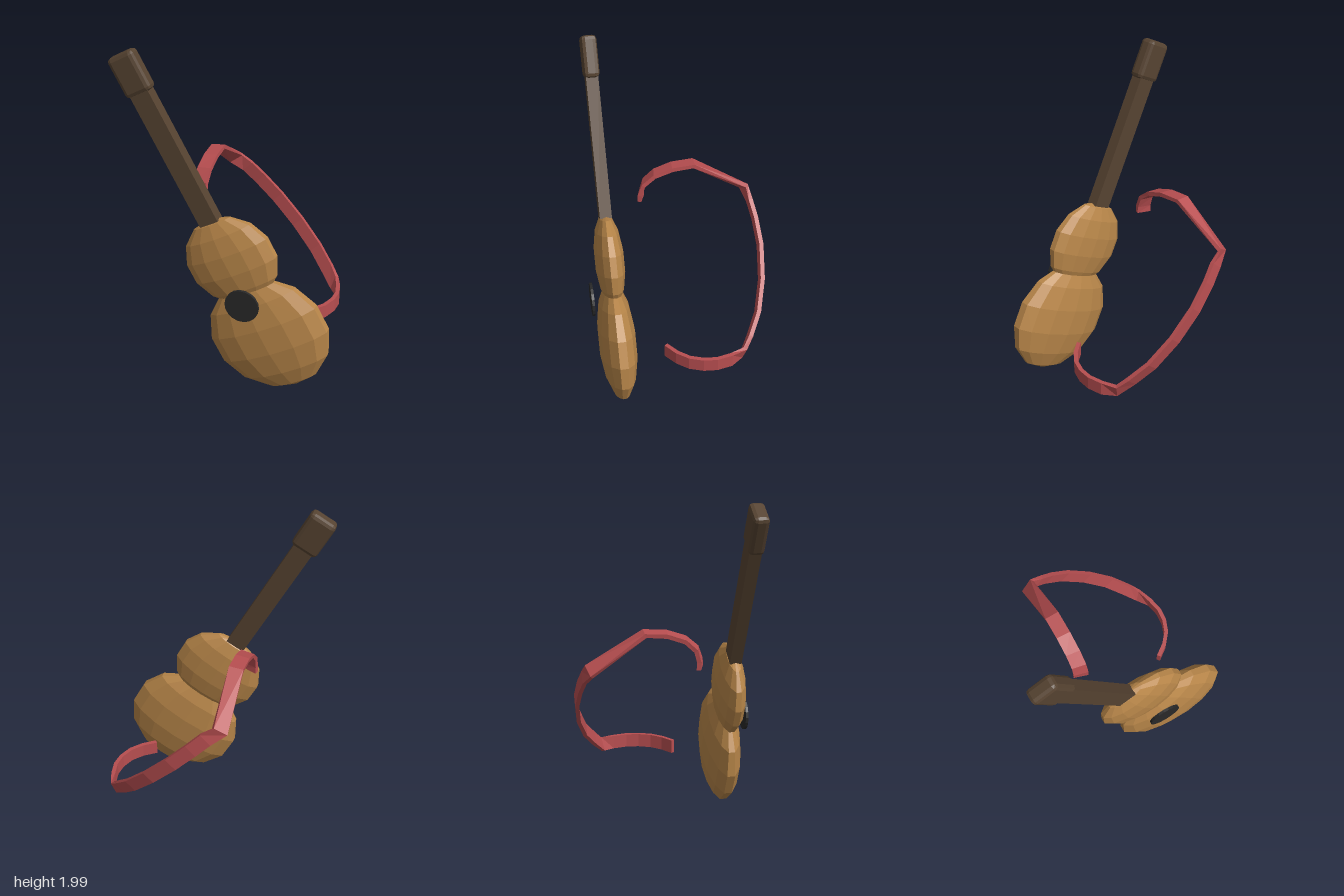
import * as THREE from 'three';
import { RoundedBoxGeometry } from 'three/addons/geometries/RoundedBoxGeometry.js';

const mat = (name, color) => {
  const m = new THREE.MeshStandardMaterial({ color, flatShading: true });
  m.name = name;
  return m;
};

const add = (parent, name, geometry, material, x = 0, y = 0, z = 0) => {
  const mesh = new THREE.Mesh(geometry, material);
  mesh.name = name;
  mesh.position.set(x, y, z);
  parent.add(mesh);
  return mesh;
};

// Flattened low-poly ball with a flat band facing sideways
const bout = (radius, depth) => {
  const g = new THREE.SphereGeometry(radius, 14, 7);
  g.rotateY(Math.PI / 14);
  g.scale(1.02, 1, depth / radius);
  return g;
};

// Ribbon: each ring is [centre, half-width vector]; the thickness follows the path
function ribbon(rings, thickness) {
  const positions = [], index = [];
  const last = rings.length - 1;
  rings.forEach(([c, w], i) => {
    const tangent = rings[Math.min(i + 1, last)][0].clone().sub(rings[Math.max(i - 1, 0)][0]);
    const n = tangent.cross(w).setLength(thickness / 2);
    for (const [a, b] of [[1, 1], [-1, 1], [-1, -1], [1, -1]]) {
      positions.push(...c.clone().addScaledVector(w, a).addScaledVector(n, b).toArray());
    }
    if (i === last) return;
    for (let j = 0; j < 4; j++) {
      const a = i * 4 + j, b = i * 4 + (j + 1) % 4;
      index.push(a, b, b + 4, a, b + 4, a + 4);
    }
  });
  const e = last * 4;
  index.push(0, 3, 2, 0, 2, 1, e, e + 1, e + 2, e, e + 2, e + 3);
  const g = new THREE.BufferGeometry();
  g.setAttribute('position', new THREE.Float32BufferAttribute(positions, 3));
  g.setIndex(index);
  const flat = g.toNonIndexed();
  flat.computeVertexNormals();
  return flat;
}

export function createModel() {
  const model = new THREE.Group();
  model.name = 'guitarWithStrap';

  const wood = mat('honeyWood', 0xb88649);
  const darkWood = mat('darkWood', 0x564331);
  const black = mat('soundHoleBlack', 0x282828);
  const red = mat('strapRed', 0xb74e50);

  // Guitar, tilted as one piece
  const guitar = new THREE.Group();
  guitar.name = 'guitar';
  guitar.position.set(0.28, 0.365, 0.403);
  guitar.rotation.z = 0.49;
  model.add(guitar);
  add(guitar, 'lowerBody', bout(0.36, 0.113), wood);
  add(guitar, 'upperBody', bout(0.275, 0.088), wood, 0.008, 0.499);
  add(guitar, 'neck', new THREE.BoxGeometry(0.118, 0.83, 0.071), darkWood, 0.008, 1.168);
  add(guitar, 'head', new RoundedBoxGeometry(0.165, 0.24, 0.09, 1, 0.024), darkWood, 0.007, 1.691);
  const hole = add(guitar, 'soundHole', new THREE.CylinderGeometry(0.1, 0.1, 0.016, 18), black, 0, 0.266, 0.124);
  hole.rotation.x = Math.PI / 2;

  // Strap: level loop at the hip, diagonal across the back, then over the shoulder
  const V = (x, y, z) => new THREE.Vector3(x, y, z);
  const rings = [];
  const hip = [[0.375, 0.12], [0.45, 0.065], [0.505, 0], [0.537, -0.08], [0.545, -0.16], [0.527, -0.25]];
  for (const [x, z] of hip) rings.push([V(x, 0.322, z), V(0, 0.0425, 0)]);
  rings.push([V(0.485, 0.325, -0.33), V(0.012, 0.042, -0.01)]);
  const back = [[0.42, -0.385], [0.325, -0.452], [0.19, -0.502], [0.045, -0.522], [-0.07, -0.512], [-0.15, -0.493]];
  for (const [x, z] of back) rings.push([V(x, 0.325 + (0.485 - x) * 1.03, z), V(0.03, 0.029, 0)]);
  rings.push([V(-0.226, 1.035, -0.472), V(0.036, 0.024, -0.012)]);
  const shoulder = [[1.243, -0.153], [1.233, -0.026], [1.196, 0.08], [1.138, 0.145], [1.07, 0.166], [1.027, 0.166]];
  shoulder.forEach(([y, z], i) => rings.push([V(-0.224, y, z), V(0.042, 0.004, i * 0.003)]));
  add(model, 'strap', ribbon(rings, 0.025), red);

  return model;
}
